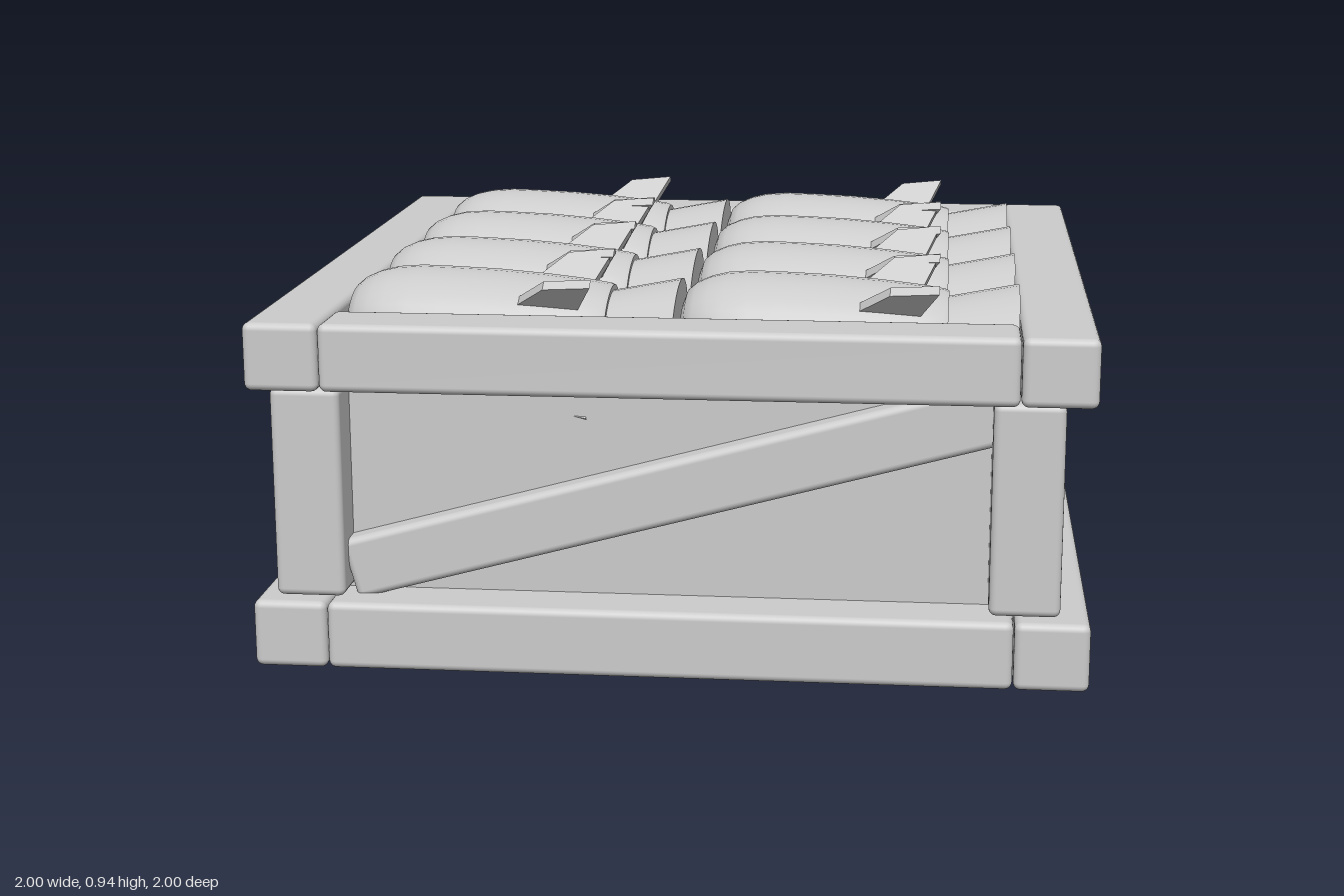
import * as THREE from 'three';
import { toCreasedNormals } from 'three/addons/utils/BufferGeometryUtils.js';
import { RoundedBoxGeometry } from 'three/addons/geometries/RoundedBoxGeometry.js';

const material = new THREE.MeshStandardMaterial({ color: 0xcccccc });

function add(parent, name, geometry, x = 0, y = 0, z = 0) {
  const mesh = new THREE.Mesh(geometry, material);
  mesh.name = name;
  mesh.position.set(x, y, z);
  parent.add(mesh);
  return mesh;
}

const plank = (w, h, d) => new RoundedBoxGeometry(w, h, d, 3, 0.018);

// Open frame: two rail rings, corner posts, thin panels and diagonal braces
function createCrate() {
  const crate = new THREE.Group();
  crate.name = 'crate';

  for (const [label, y, h] of [['bottom', 0.087, 0.166], ['top', 0.77, 0.164]]) {
    for (const s of [-1, 1]) {
      add(crate, label + 'SideRail', plank(0.178, h, 2), s * 0.911 - 0.0, y, 0);
      add(crate, label + 'CrossRail', plank(1.64, h, 0.175), 0, y, s * 0.912);
    }
  }

  for (const x of [-0.865, 0.845])
    for (const z of [-0.868, 0.878])
      add(crate, 'cornerPost', plank(0.168, 0.515, 0.178), x, 0.432, z);

  for (let i = 0; i < 4; i++) {
    const side = new THREE.Group();
    side.name = 'crateSide';
    side.rotation.y = i * Math.PI / 2;
    add(side, 'sidePanel', new THREE.BoxGeometry(1.7, 0.68, 0.016), 0, 0.43, 0.85);
    add(side, 'diagonalBrace', plank(1.62, 0.152, 0.12), 0, 0.44, 0.857).rotation.z = 0.267;
    crate.add(side);
  }
  return crate;
}

// Shell profile as [radius, distance from the nose]
const shellProfile = [
  [0, 0], [0.08, 0.003], [0.125, 0.014], [0.152, 0.035], [0.175, 0.07], [0.19, 0.11],
  [0.199, 0.17], [0.2, 0.25], [0.199, 0.36], [0.192, 0.48], [0.182, 0.58], [0.172, 0.64],
  [0.166, 0.65], [0.148, 0.65], [0.2, 0.818], [0, 0.818],
].map(([r, t]) => new THREE.Vector2(r, t));

const shellGeometry = toCreasedNormals(new THREE.LatheGeometry(shellProfile, 32), 0.6);
shellGeometry.rotateZ(-Math.PI / 2);

// Swept fin outline: x along the shell, y outward
const finShape = new THREE.Shape([
  [0.41, 0.15], [0.575, 0.15], [0.59, 0.2], [0.625, 0.325], [0.51, 0.3], [0.44, 0.195],
].map(([x, y]) => new THREE.Vector2(x, y)));
const finGeometry = new THREE.ExtrudeGeometry(finShape, { depth: 0.032, bevelEnabled: false });
finGeometry.translate(0, 0, -0.016);

// Slightly flattened shell lying along x with four diagonal fins
function createShell() {
  const shell = new THREE.Group();
  shell.name = 'shell';
  add(shell, 'shellBody', shellGeometry);
  for (let i = 0; i < 4; i++)
    add(shell, 'fin', finGeometry).rotation.x = Math.PI / 4 + i * Math.PI / 2;
  shell.scale.y = 0.725;
  return shell;
}

export function createModel() {
  const model = new THREE.Group();
  model.name = 'crateOfShells';
  model.add(createCrate());

  // Two columns of four shells, tails dipping slightly
  for (const x of [-0.823, 0])
    for (const z of [-0.655, -0.237, 0.195, 0.622]) {
      const shell = createShell();
      shell.position.set(x, 0.787, z);
      shell.rotation.z = -0.035;
      model.add(shell);
    }
  return model;
}
